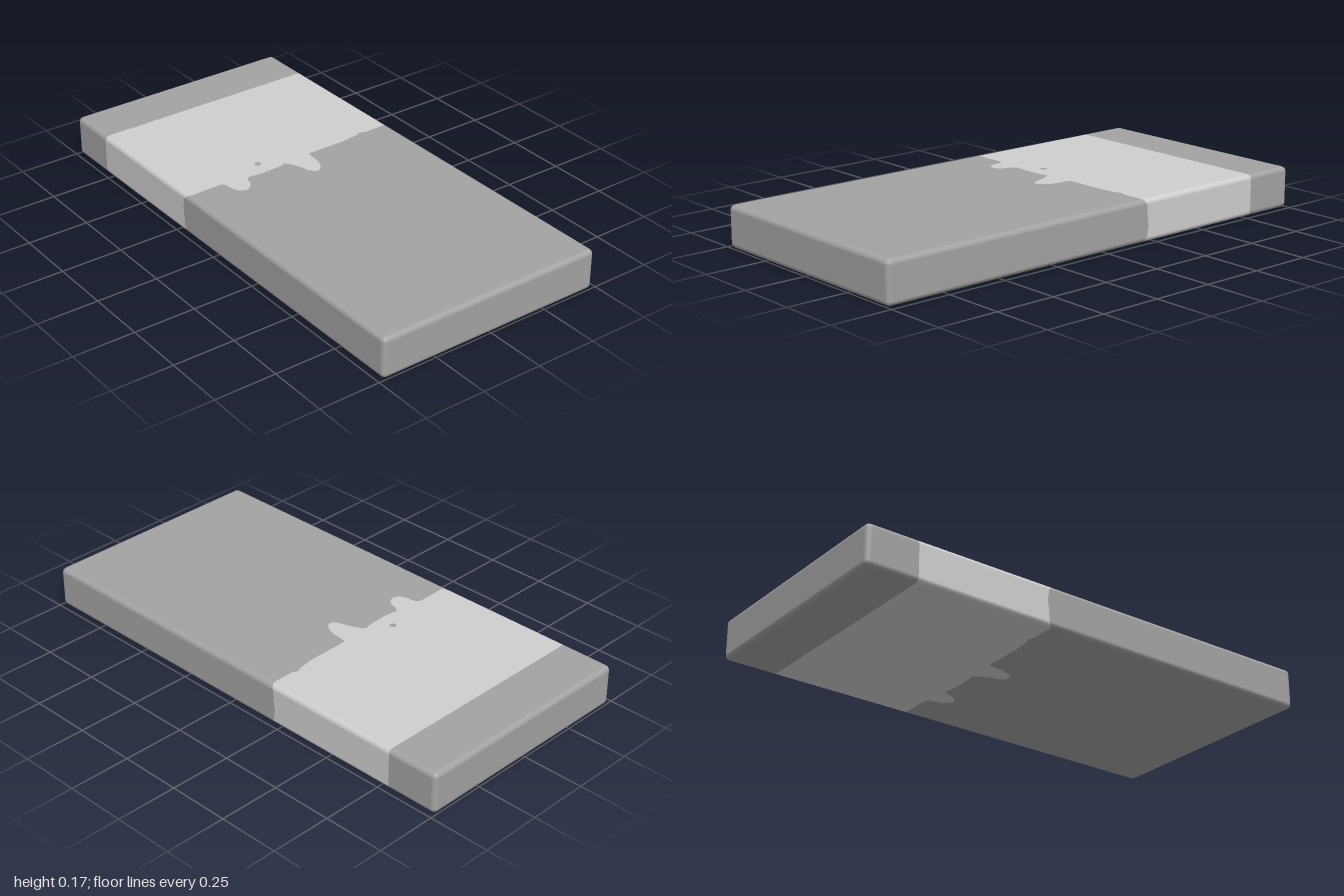
import * as THREE from 'three';

const H = 0.166, D = 0.4825, R = 0.02; // height, half depth, edge radius
const LEFT = -0.785;                   // straight edge of the pale band

// Ragged edge of the pale band across the top face, as [z, x]
const RAGGED = [
  [-0.4625, -0.2], [-0.37, -0.2], [-0.35, -0.21], [-0.33, -0.2], [-0.25, -0.19],
  [-0.085, -0.19], [-0.08, -0.17], [-0.078, -0.13], [-0.07, -0.1], [-0.055, -0.072],
  [-0.035, -0.058], [-0.018, -0.064], [-0.004, -0.085], [0.004, -0.115], [0.015, -0.145],
  [0.028, -0.168], [0.04, -0.182], [0.06, -0.175], [0.15, -0.17], [0.215, -0.178],
  [0.226, -0.16], [0.235, -0.13], [0.25, -0.11], [0.27, -0.1], [0.292, -0.105],
  [0.308, -0.125], [0.313, -0.145], [0.308 + 0.008, -0.18], [0.33, -0.192],
  [0.4, -0.192], [0.4625, -0.19],
];

// Half the cross-section: top face, front face and their rounded corners
function halfProfile() {
  const pts = RAGGED.map(([z, x]) => ({ y: H, z, ny: 1, nz: 0, x }));
  const corner = (cy, start, x0, x1) => {
    for (let i = 1; i <= 5; i++) {
      const a = start + (i / 5) * Math.PI / 2, ny = Math.cos(a), nz = Math.sin(a);
      pts.push({ y: cy + R * ny, z: D - R + R * nz, ny, nz, x: x0 + (x1 - x0) * i / 5 });
    }
  };
  corner(H - R, 0, -0.19, -0.215);
  pts.push({ y: 0.105, z: D, ny: 0, nz: 1, x: -0.222 });
  pts.push({ y: 0.06, z: D, ny: 0, nz: 1, x: -0.216 });
  pts.push({ y: R, z: D, ny: 0, nz: 1, x: -0.214 });
  corner(R, Math.PI / 2, -0.214, -0.2);
  return pts;
}

// The other half is the same profile turned half way round the long axis
const half = halfProfile();
const profile = [...half, ...half.map(p => ({ y: H - p.y, z: -p.z, ny: -p.ny, nz: -p.nz, x: p.x }))];

// Skin between rings ordered from -x to +x; each ring gives x, inset, nx, or a centre point
function loft(name, rings, material) {
  const pos = [], nor = [], idx = [], n = profile.length;
  for (const { x, inset = 0, nx = 0, centre = false } of rings) {
    const c = Math.sqrt(1 - nx * nx);
    for (const p of profile) {
      pos.push(x ?? p.x,
        centre ? H / 2 : p.y - p.ny * inset,
        centre ? 0 : p.z - p.nz * inset);
      nor.push(nx, p.ny * c, p.nz * c);
    }
  }
  for (let k = 0; k < rings.length - 1; k++) {
    for (let i = 0; i < n; i++) {
      const j = (i + 1) % n, a = k * n, b = a + n;
      idx.push(a + i, a + j, b + j, a + i, b + j, b + i);
    }
  }
  const g = new THREE.BufferGeometry();
  g.setAttribute('position', new THREE.Float32BufferAttribute(pos, 3));
  g.setAttribute('normal', new THREE.Float32BufferAttribute(nor, 3));
  g.setIndex(idx);
  const mesh = new THREE.Mesh(g, material);
  mesh.name = name;
  return mesh;
}

// Rounded end of the slab, from its flat centre out to the full section
function endRings(side) {
  const rings = [{ x: side, nx: side, centre: true }];
  for (let i = 0; i <= 5; i++) {
    const a = (i / 5) * Math.PI / 2;
    rings.push({
      x: side * (1 - R + R * Math.cos(a)),
      inset: R * (1 - Math.sin(a)),
      nx: side * Math.cos(a),
    });
  }
  return rings;
}

export function createModel() {
  const grey = new THREE.MeshStandardMaterial({ color: 0xa3a3a3 });
  grey.name = 'mid grey';
  const pale = new THREE.MeshStandardMaterial({ color: 0xcfcfcf });
  pale.name = 'pale grey';

  const group = new THREE.Group();
  group.name = 'slab';
  group.add(
    loft('shortEnd', [...endRings(-1), { x: LEFT }], grey),
    loft('paleBand', [{ x: LEFT }, {}], pale),
    loft('longEnd', [{}, ...endRings(1).reverse()], grey),
  );

  // Small grey speck on the band
  const speck = new THREE.Mesh(new THREE.CircleGeometry(0.014, 10), grey);
  speck.name = 'speck';
  speck.rotation.x = -Math.PI / 2;
  speck.position.set(-0.24, H + 0.001, 0.125);
  group.add(speck);
  return group;
}
